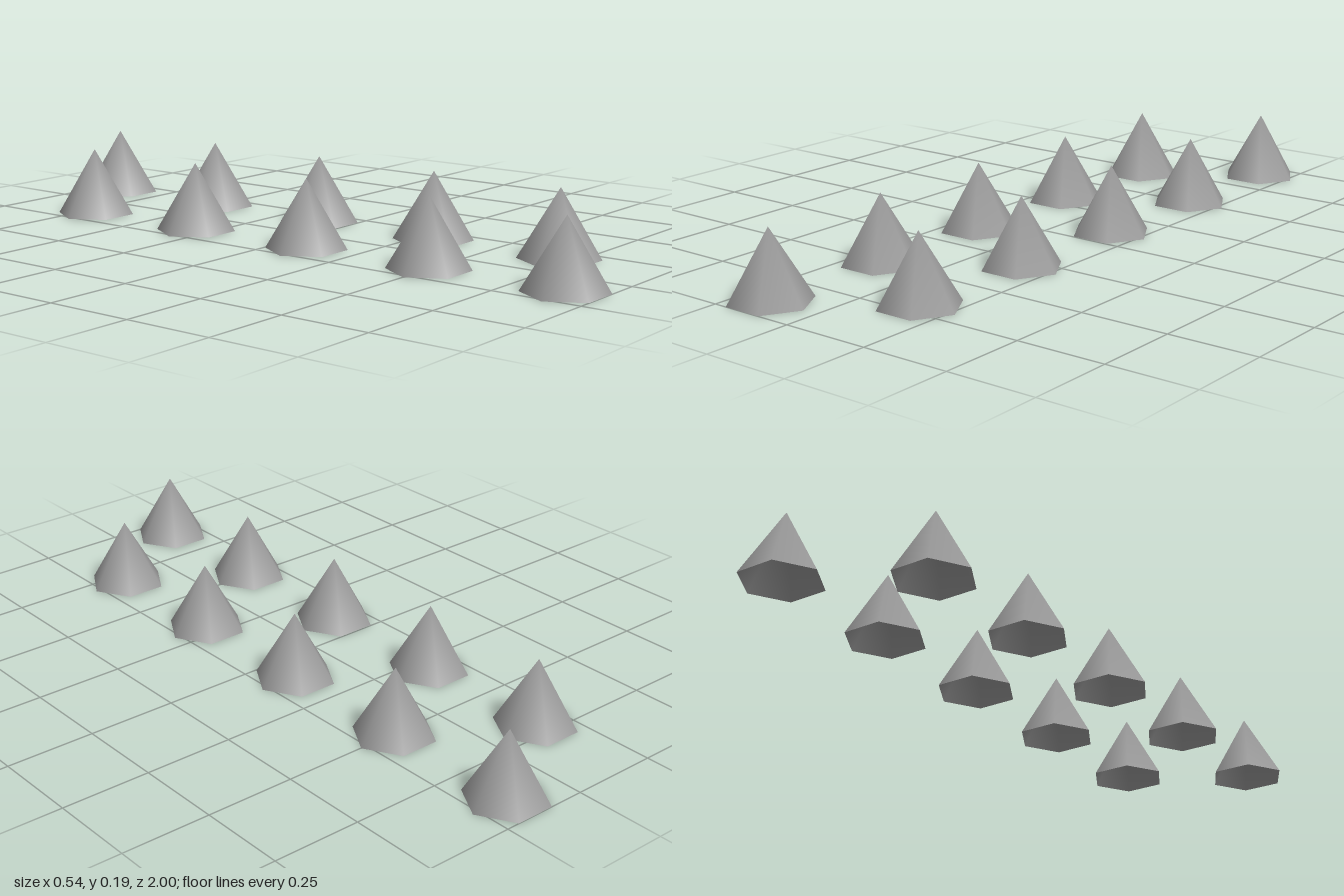
import * as THREE from 'three';
import { mergeVertices } from 'three/addons/utils/BufferGeometryUtils.js';

const RADIUS = 0.1128;
const HEIGHT = 0.193;
const COUNT = 10;
const SIDE_OFFSET = 0.156;

// Hollow six-sided spike with corners along x, shaded smoothly over a shared tip
function createSpike() {
  const cone = new THREE.ConeGeometry(RADIUS, HEIGHT, 6, 1, true, Math.PI / 6);
  cone.translate(0, HEIGHT / 2, 0);
  cone.deleteAttribute('normal');
  cone.deleteAttribute('uv');
  const spike = mergeVertices(cone, 1e-4);
  spike.computeVertexNormals();
  return spike;
}

export function createModel() {
  const group = new THREE.Group();
  group.name = 'staggeredSpikes';

  const material = new THREE.MeshStandardMaterial({ color: 0x999999, side: THREE.DoubleSide });
  const spike = createSpike();

  // Two staggered rows, alternating sides from back to front
  const zEnd = 1 - RADIUS * Math.cos(Math.PI / 6);
  for (let i = 0; i < COUNT; i++) {
    const isLeft = i % 2 === 0;
    const mesh = new THREE.Mesh(spike, material);
    mesh.name = `${isLeft ? 'left' : 'right'}Spike${Math.floor(i / 2) + 1}`;
    mesh.position.set(isLeft ? SIDE_OFFSET : -SIDE_OFFSET, 0, -zEnd + (2 * zEnd * i) / (COUNT - 1));
    group.add(mesh);
  }
  return group;
}
